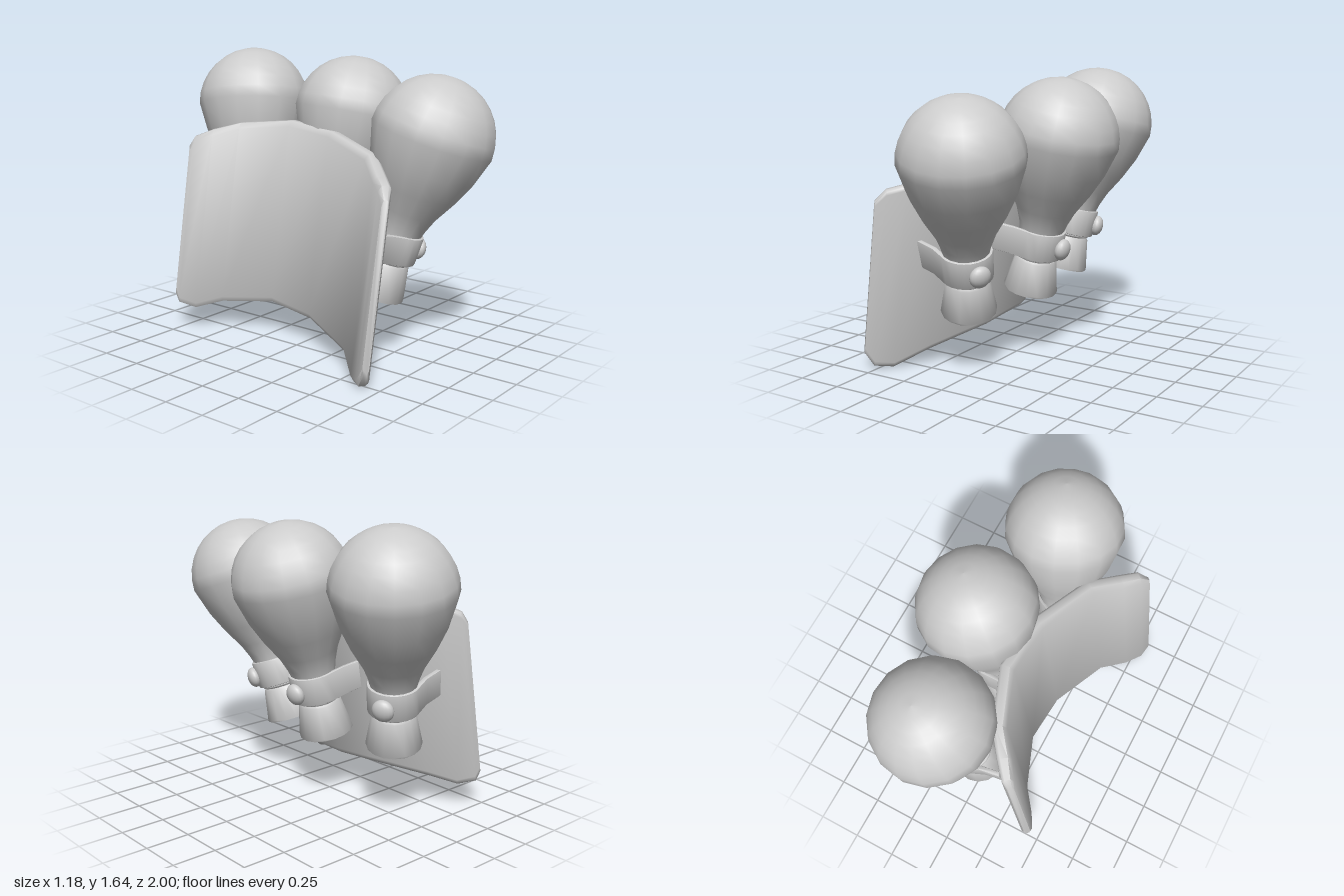
import * as THREE from 'three';
import { toCreasedNormals } from 'three/addons/utils/BufferGeometryUtils.js';

const material = new THREE.MeshStandardMaterial({ color: 0xcccccc, side: THREE.DoubleSide });

function part(name, geometry) {
  const mesh = new THREE.Mesh(geometry, material);
  mesh.name = name;
  return mesh;
}

const lathe = (pts) => new THREE.LatheGeometry(pts.map(([r, y]) => new THREE.Vector2(r, y)), 16);

// Curved, leaning plate: rounded cross-sections lofted from back to front
function plateGeometry() {
  // z, x, bottom y, corner inset, half thickness
  const columns = [
    [-0.775, -0.46, 0.13, 0.09, 0.018], [-0.755, -0.44, 0.13, 0.035, 0.032],
    [-0.67, -0.38, 0.135, 0, 0.04], [-0.54, -0.28, 0.175, 0, 0.04],
    [-0.24, -0.165, 0.2, 0, 0.04], [0.07, -0.185, 0.165, 0, 0.04],
    [0.43, -0.33, 0.09, 0, 0.04], [0.58, -0.46, 0.005, 0, 0.04],
    [0.66, -0.535, 0, 0.02, 0.035], [0.7, -0.575, 0.01, 0.09, 0.018],
  ];
  const height = 1.05, lean = 0.15, sway = 0.03, bevel = 0.03;
  const pos = [], index = [], n = 10;
  columns.forEach(([z, x, y, inset, t], i) => {
    const a = columns[Math.max(i - 1, 0)], b = columns[Math.min(i + 1, columns.length - 1)];
    const tz = b[0] - a[0], tx = b[1] - a[1], len = Math.hypot(tx, tz);
    const lo = inset, hi = height - inset;
    const ring = [
      [t * 0.5, lo], [t * 0.9, lo + bevel * 0.4], [t, lo + bevel], [t, hi - bevel], [t * 0.9, hi - bevel * 0.4],
      [t * 0.5, hi], [-t * 0.5, hi], [-t, hi - bevel], [-t, lo + bevel], [-t * 0.5, lo],
    ];
    for (const [o, h] of ring) {
      const k = h / height;
      pos.push(x + (o * tz) / len + lean * k, y + h, z - (o * tx) / len + sway * k);
    }
  });
  for (let i = 0; i < columns.length - 1; i++) {
    for (let j = 0; j < n; j++) {
      const a = i * n + j, b = i * n + ((j + 1) % n);
      index.push(a, b, a + n, b, b + n, a + n);
    }
  }
  const last = (columns.length - 1) * n;
  for (let j = 1; j < n - 1; j++) {
    index.push(0, j + 1, j, last, last + j, last + j + 1);
  }
  const g = new THREE.BufferGeometry();
  g.setAttribute('position', new THREE.Float32BufferAttribute(pos, 3));
  g.setIndex(index);
  return toCreasedNormals(g, 0.9);
}

// U-shaped strap: flared legs behind, round in front
function strapGeometry() {
  const outline = (r, grow) => {
    const pts = [[-0.22, 0.17 + grow], [-0.11, 0.136 + grow]];
    for (let i = 0; i <= 12; i++) {
      const a = (1 - i / 6) * 1.65;
      pts.push([r * Math.cos(a), r * Math.sin(a)]);
    }
    pts.push([-0.11, -0.136 - grow], [-0.22, -0.17 - grow]);
    return pts.map(([x, y]) => new THREE.Vector2(x, y));
  };
  const shape = new THREE.Shape([...outline(0.138, 0.008), ...outline(0.122, -0.008).reverse()]);
  const g = new THREE.ExtrudeGeometry(shape, {
    depth: 0.145, bevelThickness: 0.008, bevelSize: 0.006, bevelSegments: 2,
  });
  g.translate(0, 0, -0.0725);
  g.rotateX(-Math.PI / 2);
  return toCreasedNormals(g, 0.7);
}

// Bulb profile: flared neck, then a round head
const bulbProfile = [[0.105, 0.19], [0.108, 0.26], [0.125, 0.36], [0.14, 0.42], [0.17, 0.5], [0.235, 0.62], [0.292, 0.75]];
for (let i = 0; i <= 8; i++) {
  const a = (i / 8) * (Math.PI / 2);
  bulbProfile.push([0.338 * Math.cos(a), 0.91 + 0.338 * Math.sin(a)]);
}
bulbProfile[bulbProfile.length - 1][0] = 0;

const geometries = {
  bulb: lathe(bulbProfile),
  base: toCreasedNormals(lathe([[0, 0], [0.153, 0], [0.156, 0.01], [0.122, 0.19], [0.115, 0.2], [0, 0.2]]), 0.8),
  collar: new THREE.TorusGeometry(0.108, 0.014, 8, 20).rotateX(Math.PI / 2),
  strap: strapGeometry(),
  button: new THREE.SphereGeometry(0.062, 16, 12).scale(0.65, 1, 1),
};

// Flask standing on `bottom`, its axis through `head`, its button turned by `turn`
function flask(name, bottom, head, turn) {
  const g = new THREE.Group();
  g.name = name;
  const collar = part('collar', geometries.collar);
  collar.position.y = 0.215;
  const strap = part('strap', geometries.strap);
  strap.position.y = 0.3;
  const button = part('button', geometries.button);
  button.position.set(0.155, 0.295, 0);
  g.add(part('bulb', geometries.bulb), part('base', geometries.base), collar, strap, button);

  const origin = new THREE.Vector3(...bottom);
  const up = new THREE.Vector3(...head).sub(origin).normalize();
  const out = new THREE.Vector3(Math.cos(turn), 0, Math.sin(turn));
  out.addScaledVector(up, -out.dot(up)).normalize();
  const side = new THREE.Vector3().crossVectors(out, up);
  g.quaternion.setFromRotationMatrix(new THREE.Matrix4().makeBasis(out, up, side));
  g.position.copy(origin);
  return g;
}

export function createModel() {
  const model = new THREE.Group();
  model.name = 'flaskRack';
  model.add(
    part('backPlate', plateGeometry()),
    flask('frontFlask', [-0.055, 0.35, 0.41], [0.085, 1.22, 0.665], 0.53),
    flask('middleFlask', [0.065, 0.39, -0.045], [0.27, 1.275, 0], 0),
    flask('backFlask', [0.0, 0.42, -0.53], [0.16, 1.295, -0.665], -0.42),
  );
  return model;
}
